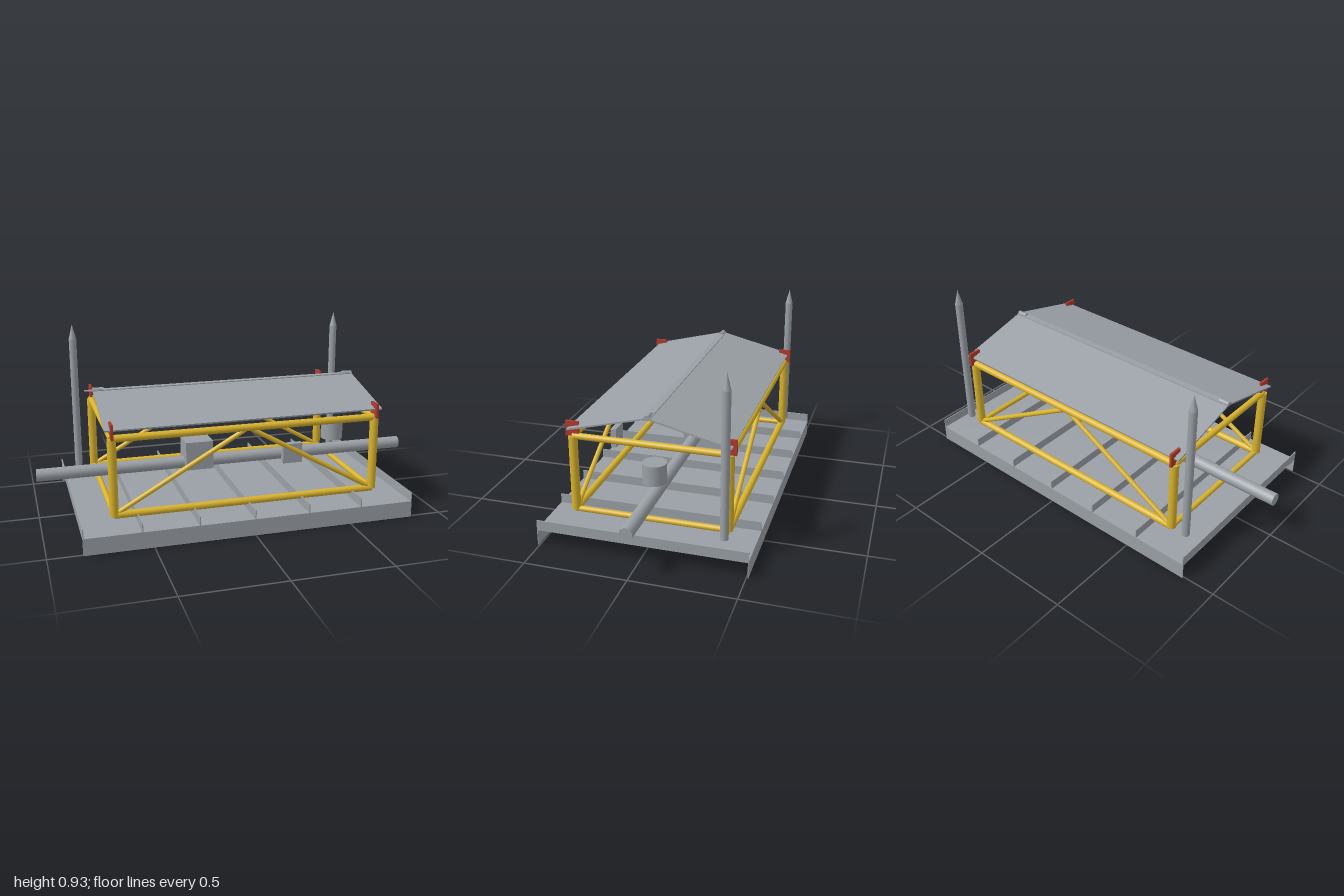
import * as THREE from 'three';

const mat = (name, color) => new THREE.MeshStandardMaterial({ name, color });

export function createModel() {
  const grey = mat('steel grey', 0x9aa0a6);
  const yellow = mat('frame yellow', 0xd9b32c);
  const red = mat('lug red', 0xb03a2e);
  const model = new THREE.Group();
  model.name = 'subseaTemplate';

  const add = (name, geometry, material, x = 0, y = 0, z = 0) => {
    const mesh = new THREE.Mesh(geometry, material);
    mesh.name = name;
    mesh.position.set(x, y, z);
    model.add(mesh);
    return mesh;
  };
  const box = (name, m, w, h, d, x, y, z) => add(name, new THREE.BoxGeometry(w, h, d), m, x, y, z);
  // Round bar between two points
  const bar = (name, m, a, b, r) => {
    const from = new THREE.Vector3(...a), to = new THREE.Vector3(...b);
    const dir = to.clone().sub(from);
    const mesh = add(name, new THREE.CylinderGeometry(r, r, dir.length(), 20), m);
    mesh.position.copy(from).add(to).multiplyScalar(0.5);
    mesh.quaternion.setFromUnitVectors(new THREE.Vector3(0, 1, 0), dir.normalize());
    return mesh;
  };

  // Mud mat: plate, hanging skirts and upright ribs
  box('matPlate', grey, 1.67, 0.006, 1.02, 0, 0.081, 0);
  for (const s of [-1, 1]) box('skirt', grey, 1.67, 0.082, 0.004, 0, 0.041, s * 0.508);
  for (const x of [-0.832, -0.555, -0.278, 0, 0.278, 0.555, 0.832])
    box('matRib', grey, 0.005, 0.05, 1.02, x, 0.105, 0);

  // Tubular frame
  const X = 0.667, Z = 0.377, low = 0.13, high = 0.51;
  for (const z of [-Z, Z]) {
    bar('bottomRail', yellow, [-X, low, z], [X, low, z], 0.018);
    bar('topRail', yellow, [-X, high, z], [X, high, z], 0.018);
    for (const x of [-X, X]) {
      bar('cornerPost', yellow, [x, low, z], [x, high, z], 0.022);
      bar('diagonalBrace', yellow, [x, low, z], [0, high, z], 0.012);
      box('liftingLug', red, 0.012, 0.075, 0.066, x, 0.547, z);
    }
  }
  for (const x of [-X, X]) {
    bar('bottomCrossRail', yellow, [x, low, -Z], [x, low, Z], 0.014);
    bar('topCrossRail', yellow, [x, high, -Z], [x, high, Z], 0.016);
  }

  // Pitched roof of two leaves, with ridge strip and hinge pins
  const run = 0.393, rise = 0.098;
  for (const s of [-1, 1]) {
    const leaf = box('roofLeaf', grey, 1.4, 0.008, Math.hypot(run, rise), 0, 0.601, s * run / 2);
    leaf.rotation.x = s * Math.atan2(rise, run);
    bar('hingePin', grey, [s * 0.645, 0.653, 0], [s * 0.7, 0.653, 0], 0.012);
  }
  box('ridgeStrip', grey, 1.4, 0.005, 0.034, 0, 0.652, 0);

  // Header pipe and equipment
  bar('headerPipe', grey, [-1, 0.23, 0], [1, 0.23, 0], 0.032);
  box('valveBlock', grey, 0.145, 0.15, 0.134, -0.167, 0.278, 0);
  box('controlPanel', grey, 0.1, 0.1, 0.03, 0.245, 0.343, 0.326);
  add('actuatorCan', new THREE.CylinderGeometry(0.059, 0.059, 0.1, 32), grey, 0.6, 0.343, 0);

  // Guide posts with pointed tips
  for (const x of [-0.75, 0.75]) {
    bar('guidePost', grey, [x, 0.13, -Z], [x, 0.845, -Z], 0.02);
    add('guideTip', new THREE.ConeGeometry(0.02, 0.08, 20), grey, x, 0.885, -Z);
  }
  return model;
}
